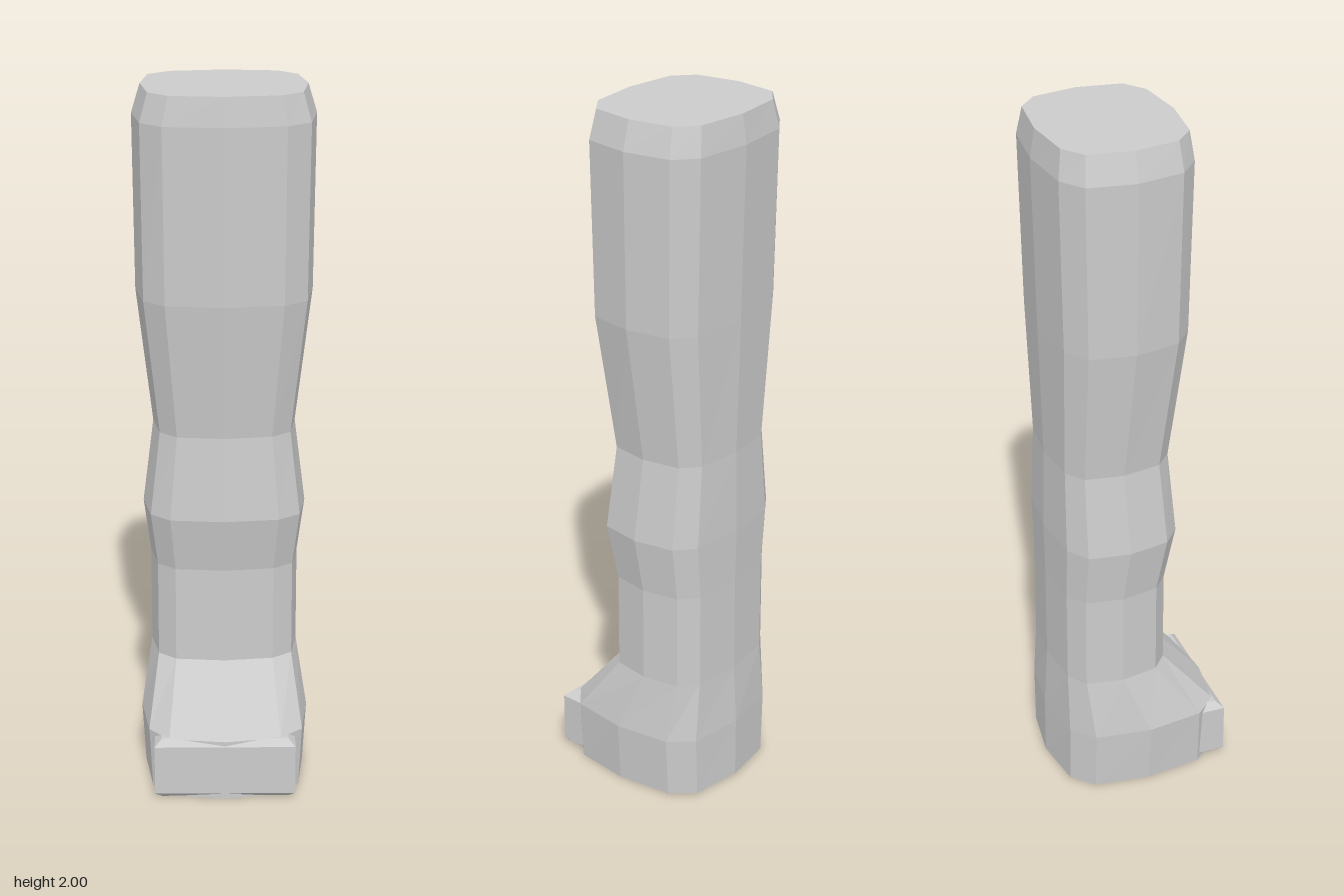
import * as THREE from 'three';

const material = new THREE.MeshStandardMaterial({ color: 0xcccccc, flatShading: true });

// Lofts closed rings (listed bottom to top, each running from +z towards +x) and caps both ends.
function loft(rings) {
  const n = rings[0].length;
  const pos = [];
  const tri = (a, b, c) => pos.push(...a, ...b, ...c);
  for (let r = 0; r < rings.length - 1; r++) {
    const lo = rings[r], hi = rings[r + 1];
    for (let i = 0; i < n; i++) {
      const j = (i + 1) % n;
      tri(lo[i], lo[j], hi[j]);
      tri(lo[i], hi[j], hi[i]);
    }
  }
  const bottom = rings[0], top = rings[rings.length - 1];
  for (let i = 1; i < n - 1; i++) {
    tri(bottom[0], bottom[i + 1], bottom[i]);
    tri(top[0], top[i], top[i + 1]);
  }
  const geo = new THREE.BufferGeometry();
  geo.setAttribute('position', new THREE.Float32BufferAttribute(pos, 3));
  geo.computeVertexNormals();
  return geo;
}

// Twelve-sided rounded-square section, mirrored from one quarter.
const quarter = [[0, 1], [0.66, 0.9], [0.92, 0.66]];
const section = [];
for (let q = 0; q < 4; q++) {
  for (const [x, z] of quarter) {
    // quarter turns are symmetric because the section mirrors across its diagonals
    const pt = [[x, z], [z, -x], [-x, -z], [-z, x]][q];
    section.push(pt);
  }
}

function legRing([y, halfWidth, back, front]) {
  const mid = (front + back) / 2, half = (front - back) / 2;
  return section.map(([x, z]) => [x * halfWidth, y, mid + z * half]);
}

function boxRing(y, inset) {
  const x = 0.2 - inset, front = 0.25 - inset, back = 0.12 + inset;
  return [[x, y, front], [x, y, back], [-x, y, back], [-x, y, front]];
}

export function createModel() {
  const model = new THREE.Group();
  model.name = 'bootedLeg';

  // Leg and boot: height, half width, back z, front z
  const profile = [
    [0, 0.23, -0.242, 0.248],
    [0.18, 0.24, -0.242, 0.248],
    [0.36, 0.21, -0.232, 0.09],
    [0.64, 0.21, -0.232, 0.09],
    [0.8, 0.23, -0.235, 0.12],
    [1.04, 0.2, -0.23, 0.1],
    [1.43, 0.245, -0.24, 0.145],
    [1.92, 0.25, -0.25, 0.155],
    [2, 0.226, -0.237, 0.145],
  ];
  const leg = new THREE.Mesh(loft(profile.map(legRing)), material);
  leg.name = 'leg';
  model.add(leg);

  // Toe block, chamfered along its top and bottom
  const toe = new THREE.Mesh(
    loft([boxRing(0, 0.02), boxRing(0.018, 0), boxRing(0.165, 0), boxRing(0.183, 0.02)]),
    material
  );
  toe.name = 'toeBlock';
  model.add(toe);

  return model;
}
